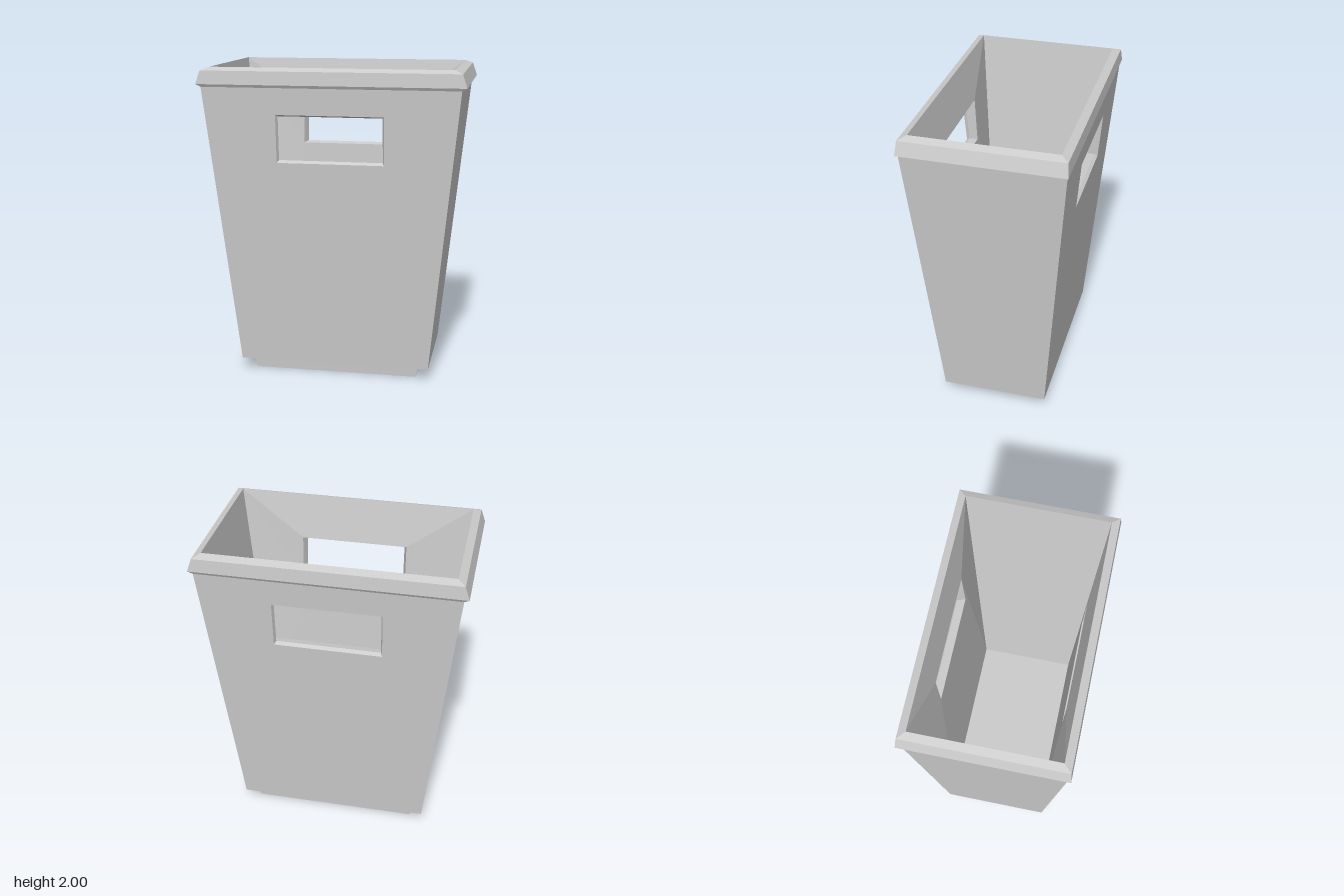
import * as THREE from 'three';

const material = new THREE.MeshStandardMaterial({ color: 0xcccccc, flatShading: true });

// Level rectangle of half-width x and half-depth z, starting at the front left corner
const ring = (x, y, z) => [[x, y, z], [x, y, -z], [-x, y, -z], [-x, y, z]];

// Upright loop on the front wall, counter-clockwise from outside: lower edge, then upper edge
const upright = ([x0, y0, z0], [x1, y1, z1]) => [[-x0, y0, z0], [x0, y0, z0], [x1, y1, z1], [-x1, y1, z1]];

// Bridges successive four-corner loops; only the listed sides are built
function bridge(name, loops, sides = [0, 1, 2, 3], capFirst = false, capLast = false) {
  const pos = [];
  const quad = (a, b, c, d) => pos.push(...a, ...b, ...c, ...a, ...c, ...d);
  for (let k = 0; k + 1 < loops.length; k++) {
    const a = loops[k], b = loops[k + 1];
    for (const i of sides) {
      const j = (i + 1) % 4;
      quad(a[i], a[j], b[j], b[i]);
    }
  }
  if (capFirst) quad(...[...loops[0]].reverse());
  if (capLast) quad(...loops[loops.length - 1]);
  const geometry = new THREE.BufferGeometry();
  geometry.setAttribute('position', new THREE.Float32BufferAttribute(pos, 3));
  geometry.computeVertexNormals();
  const mesh = new THREE.Mesh(geometry, material);
  mesh.name = name;
  return mesh;
}

export function createModel() {
  const group = new THREE.Group();
  group.name = 'wasteBin';

  // Corner profile points [half-width, height, half-depth]
  const wallBottom = [0.615, 0.08, 0.34], wallTop = [0.80, 1.88, 0.49];
  const innerTop = [0.755, 2.0, 0.445], innerBottom = [0.55, 0.1, 0.32];

  // Foot with closed underside, and the ledge out to the walls
  group.add(bridge('foot', [ring(0.53, 0, 0.275), ring(0.55, 0.08, 0.28), ring(...wallBottom)],
    undefined, true));

  // Bevelled rim
  group.add(bridge('rim', [ring(...wallTop), ring(0.83, 1.897, 0.5), ring(0.802, 1.98, 0.493), ring(...innerTop)]));

  // Plain end walls, outside and inside
  group.add(bridge('endWallsOuter', [ring(...wallBottom), ring(...wallTop)], [0, 2]));
  group.add(bridge('endWallsInner', [ring(...innerTop), ring(...innerBottom)], [0, 2]));

  // Floor
  group.add(bridge('floor', [ring(...innerBottom)], [], false, true));

  // Front and back walls: outer face, bevelled handle hole, inner face
  const wallLoops = [
    upright(wallBottom, wallTop),
    upright([0.335, 1.415, 0.451], [0.335, 1.715, 0.476]),
    upright([0.325, 1.43, 0.43], [0.325, 1.705, 0.452]),
    upright([0.345, 1.42, 0.38], [0.345, 1.712, 0.393]),
    upright(innerBottom, innerTop),
  ];
  const front = bridge('frontWall', wallLoops);
  const back = bridge('backWall', wallLoops);
  back.rotation.y = Math.PI;
  group.add(front, back);

  return group;
}
